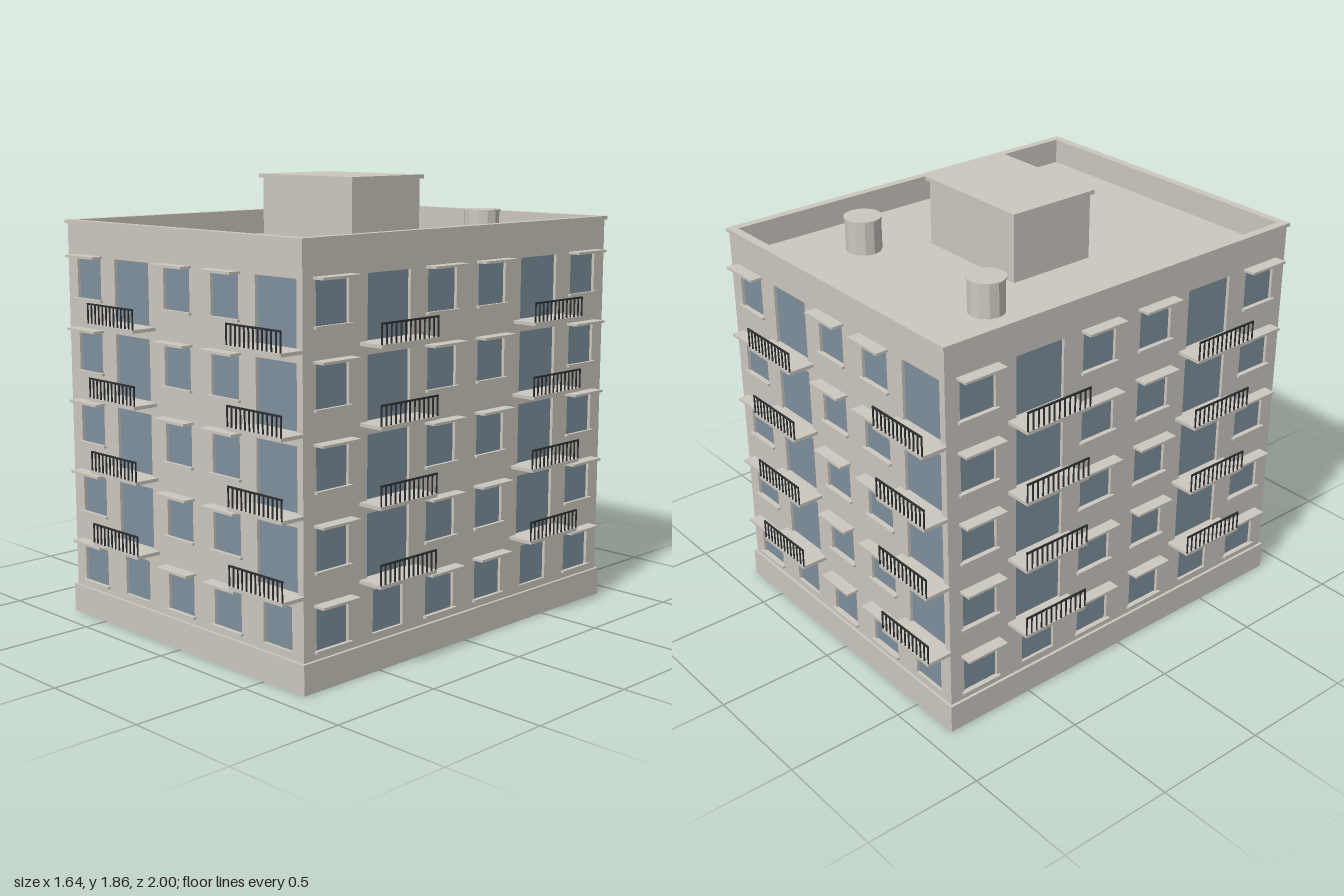
import * as THREE from 'three';
import { mergeGeometries } from 'three/addons/utils/BufferGeometryUtils.js';

const HX = 0.708, HZ = 0.888;   // half extents of the outer walls
const T = 0.026;                // wall thickness
const WALL_TOP = 1.665, ROOF = 1.57;
const FLOORS = 5, STOREY = 0.302;

const stone = new THREE.MeshStandardMaterial({ name: 'warm grey stone', color: 0xcdc8c0 });
const glass = new THREE.MeshStandardMaterial({ name: 'blue grey glass', color: 0x7e909d, side: THREE.DoubleSide });
const iron = new THREE.MeshStandardMaterial({ name: 'dark iron', color: 0x2e3032 });

function boxGeo(w, h, d, x, y, z) {
  return new THREE.BoxGeometry(w, h, d).translate(x, y, z);
}

function add(parent, name, geometry, material) {
  const mesh = new THREE.Mesh(geometry, material);
  mesh.name = name;
  parent.add(mesh);
  return mesh;
}

function rectPath(target, x0, y0, x1, y1) {
  target.moveTo(x0, y0);
  target.lineTo(x1, y0);
  target.lineTo(x1, y1);
  target.lineTo(x0, y1);
  target.closePath();
  return target;
}

// Flat rectangular ring lying in the ground plane
function ring(ox, oz, ix, iz, y0, y1) {
  const shape = rectPath(new THREE.Shape(), -ox, -oz, ox, oz);
  shape.holes.push(rectPath(new THREE.Path(), -ix, -iz, ix, iz));
  return new THREE.ExtrudeGeometry(shape, { depth: y1 - y0, bevelEnabled: false })
    .rotateX(-Math.PI / 2).translate(0, y0, 0);
}

// One facade facing +z, its outer face at z = 0
function makeFacade(name, halfWidth, panelHalf, columns, balconyColumns) {
  const facade = new THREE.Group();
  facade.name = name;
  const bay = (2 * halfWidth) / columns;
  const wall = rectPath(new THREE.Shape(), -panelHalf, 0, panelHalf, WALL_TOP);
  const panes = [], sills = [], hoods = [], slabs = [], rails = [];

  for (let c = 0; c < columns; c++) {
    const x = (c + 0.5) * bay - halfWidth;
    const hasBalcony = balconyColumns.includes(c);
    for (let f = 0; f < FLOORS; f++) {
      const y = f * STOREY;
      const door = hasBalcony && f > 0;
      const w = bay * (door ? 0.78 : 0.56);
      const bottom = y + (door ? 0.076 : 0.15);
      const top = y + (door ? 0.327 : 0.323);

      // Opening and its pane
      wall.holes.push(rectPath(new THREE.Path(), x - w / 2, bottom, x + w / 2, top));
      panes.push(new THREE.PlaneGeometry(w, top - bottom).translate(x, (top + bottom) / 2, -T / 2));

      if (door) {
        // Balcony slab with a railing along its outer edge
        const bw = bay * 1.05, depth = 0.112;
        slabs.push(boxGeo(bw, 0.014, depth, x, y + 0.069, depth / 2));
        const zr = depth - 0.003;
        rails.push(boxGeo(bw, 0.007, 0.006, x, y + 0.154, zr));
        const bars = 13;
        for (let i = 0; i < bars; i++) {
          const bx = x + (i / (bars - 1) - 0.5) * (bw - 0.006);
          rails.push(boxGeo(0.005, 0.076, 0.005, bx, y + 0.114, zr));
        }
      } else if (!hasBalcony) {
        // Sill below and hood above each window
        sills.push(boxGeo(bay * 0.63, 0.01, 0.014, x, y + 0.15, 0.007));
        hoods.push(boxGeo(bay * 0.65, 0.01, 0.053, x, y + 0.328, 0.0265));
      }
    }
  }
  const wallGeo = new THREE.ExtrudeGeometry(wall, { depth: T, bevelEnabled: false }).translate(0, 0, -T);
  add(facade, 'wall', wallGeo, stone);
  add(facade, 'windowPanes', mergeGeometries(panes), glass);
  add(facade, 'windowSills', mergeGeometries(sills), stone);
  add(facade, 'windowHoods', mergeGeometries(hoods), stone);
  add(facade, 'balconySlabs', mergeGeometries(slabs), stone);
  add(facade, 'balconyRailings', mergeGeometries(rails), iron);
  return facade;
}

export function createModel() {
  const building = new THREE.Group();
  building.name = 'apartmentBuilding';

  // Four facades; opposite ones are half-turn copies
  const names = ['front', 'left', 'back', 'right'];
  names.forEach((side, i) => {
    const wide = i % 2 === 1;
    const facade = wide
      ? makeFacade(side + 'Facade', HZ, HZ - T, 6, [1, 4])
      : makeFacade(side + 'Facade', HX, HX, 5, [1, 4]);
    const angle = (i * Math.PI) / 2;
    const distance = wide ? HX : HZ;
    facade.rotation.y = angle;
    facade.position.set(Math.sin(angle) * distance, 0, Math.cos(angle) * distance);
    building.add(facade);
  });

  // Plinth, coping and roof deck
  add(building, 'plinth', ring(0.72, 0.898, HX - 0.005, HZ - 0.005, 0, 0.12), stone);
  add(building, 'parapetCoping', ring(0.717, 0.897, 0.68, 0.86, WALL_TOP, 1.68), stone);
  add(building, 'roofDeck', boxGeo(2 * (HX - T), 0.03, 2 * (HZ - T), 0, ROOF - 0.015, 0), stone);

  // Rooftop stair house
  add(building, 'stairHouse', boxGeo(0.53, 0.275, 0.396, 0, ROOF + 0.1375, 0), stone);
  add(building, 'stairHouseCap', boxGeo(0.556, 0.017, 0.42, 0, 1.8535, 0), stone);

  // Pair of roof vents
  for (const s of [-1, 1]) {
    const vent = new THREE.Group();
    vent.name = s > 0 ? 'leftVent' : 'rightVent';
    const body = new THREE.CylinderGeometry(0.075, 0.075, 0.14, 12).toNonIndexed();
    body.computeVertexNormals();
    add(vent, 'ventBody', body.translate(0, 0.07, 0), stone);
    add(vent, 'ventLid', new THREE.CylinderGeometry(0.079, 0.079, 0.006, 24).translate(0, 0.142, 0), stone);
    vent.position.set(0.397 * s, ROOF, -0.444);
    building.add(vent);
  }
  return building;
}
